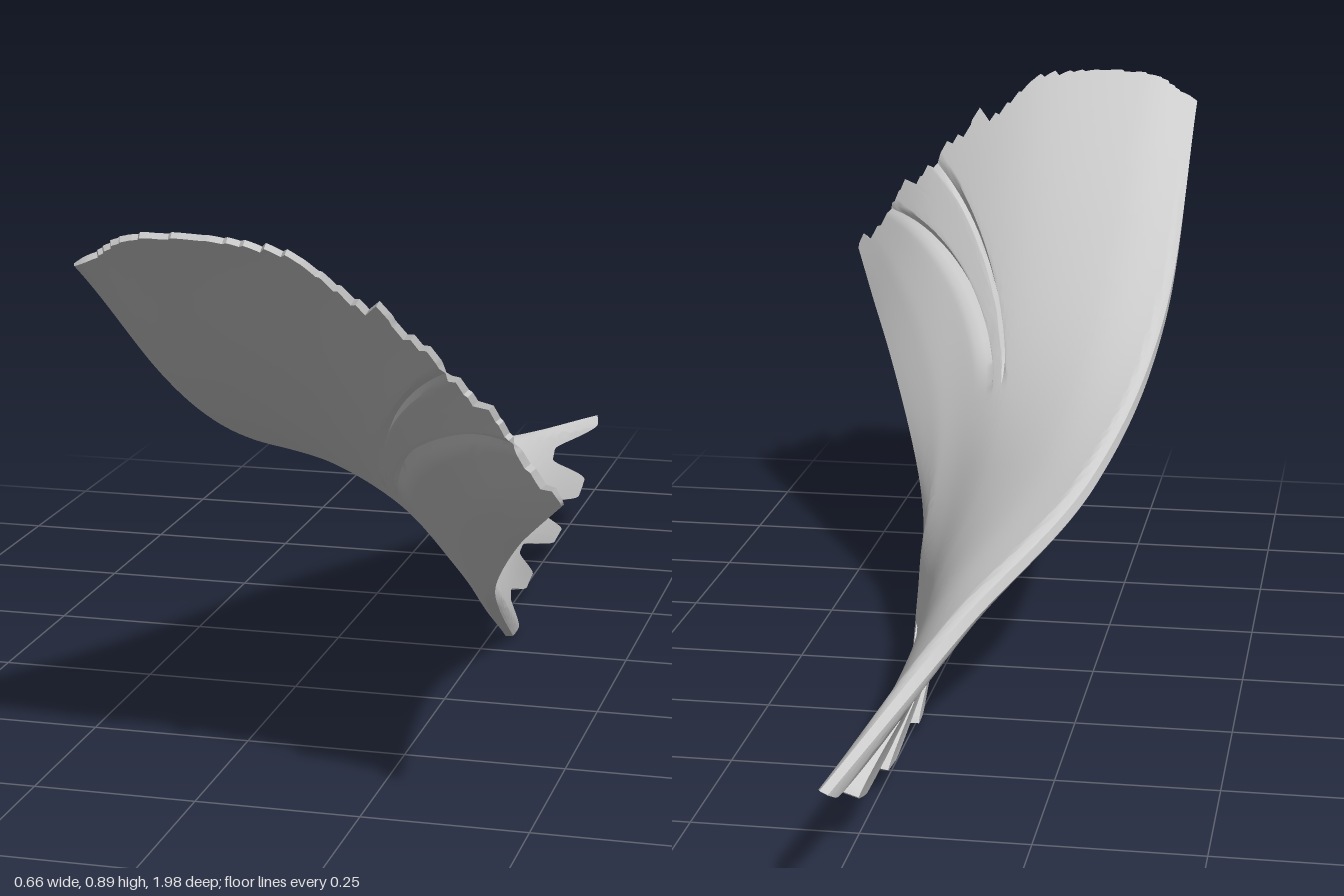
import * as THREE from 'three';
import { toCreasedNormals } from 'three/addons/utils/BufferGeometryUtils.js';

// Sections from the broad fan (first) to the finger tips (last);
// each runs from the left/upper edge to the right/lower edge.
const SECTIONS = [
  [[-0.33, 0.845, 0.945], [-0.22, 0.895, 0.97], [0, 0.88, 0.99], [0.19, 0.73, 0.94], [0.335, 0.555, 0.925]],
  [[-0.32, 0.525, 0.45], [-0.2, 0.53, 0.47], [-0.05, 0.5, 0.5], [0.08, 0.45, 0.55], [0.2, 0.39, 0.6]],
  [[-0.25, 0.35, -0.03], [-0.155, 0.335, 0.06], [-0.06, 0.305, 0.16], [0.02, 0.265, 0.25], [0.095, 0.23, 0.32]],
  [[-0.105, 0.24, -0.48], [-0.06, 0.215, -0.33], [-0.025, 0.185, -0.18], [0.01, 0.155, -0.02], [0.055, 0.125, 0.13]],
  [[0, 0.168, -0.99], [0.006, 0.078, -0.765], [0.002, 0.045, -0.56], [0, 0.032, -0.32], [0.033, 0.012, -0.075]],
];
const NU = 160, NV = 80;
const CLEFTS = [0.75, 0.9];
const { smoothstep, lerp } = THREE.MathUtils;
const spline = pts => new THREE.CatmullRomCurve3(pts, false, 'catmullrom', 0.5);
const rows = SECTIONS.map(r => spline(r.map(p => new THREE.Vector3(...p))));
const surface = (u, v) => spline(rows.map(r => r.getPoint(u))).getPoint(v);
const hash = n => { const s = Math.sin(n * 127.1 + 3.7) * 43758.5453; return s - Math.floor(s); };

// How far each fibre reaches: five fingers separated by tapering notches
function reach(u) {
  const d = Math.abs(u * 4 - Math.round(u * 4));
  return lerp(1, lerp(0.9, 0.85, u), smoothstep(d, 0.13, 0.42));
}

// Ragged fan border, deeper towards the right
function ragged(u) {
  const k = u * 34, f = k - Math.floor(k);
  const amount = smoothstep(u, 0.35, 0.6) * 0.024 + 0.004;
  return amount * (hash(Math.floor(k)) * 0.7 + f * 0.3) * smoothstep(u, 0.02, 0.1);
}

// Bends the fibres so that the two clefts run together inside the fan
function bend(u, v) {
  const k = smoothstep(v, -0.2, 0.36) * (1 - smoothstep(v, 0.36, 0.72));
  const k0 = smoothstep(0, -0.2, 0.36);
  const t = Math.max(0, v < 0.36 ? (k - k0) / (1 - k0) : k);
  const from = [0, ...CLEFTS, 1];
  const to = [0, lerp(CLEFTS[0], 0.52, t), lerp(CLEFTS[1], 0.56, t), 1];
  const n = u < from[1] ? 0 : u < from[2] ? 1 : 2;
  return lerp(to[n], to[n + 1], (u - from[n]) / (from[n + 1] - from[n]));
}

// Half thickness: thin at side edges, fan border and clefts
function halfThickness(u, v) {
  const side = Math.sqrt(Math.min(1, 0.2 + Math.min(u, 1 - u) / 0.05));
  let half = 0.018 * side * lerp(0.25, 1, smoothstep(v, 0, 0.16)) * lerp(1, 0.8, smoothstep(v, 0.8, 1));
  for (const c of CLEFTS) {
    const depth = Math.max(0, 1 - Math.abs(u - c) / 0.013) * (1 - smoothstep(v, 0.26, 0.36));
    half *= 1 - 0.85 * depth;
  }
  return half;
}

function sheetGeometry() {
  const W = NU + 1, count = W * (NV + 1), e = 0.004;
  const top = [], bottom = [], index = [];
  const normal = new THREE.Vector3();
  for (let j = 0; j <= NV; j++) for (let i = 0; i <= NU; i++) {
    const u = i / NU, s = j / NV;
    let v = s;
    if (s > 0.7) v = lerp(0.7, reach(u), (s - 0.7) / 0.3);
    else if (s < 0.25) v = lerp(ragged(u), 0.25, s / 0.25);
    const w = bend(u, v);
    const p = surface(w, v);
    const du = surface(Math.min(w + e, 1), v).sub(surface(Math.max(w - e, 0), v));
    const dv = surface(w, Math.min(v + e, 1)).sub(surface(w, Math.max(v - e, 0)));
    normal.crossVectors(du, dv).normalize();
    const half = halfThickness(u, v);
    top.push(...p.clone().addScaledVector(normal, half));
    bottom.push(...p.clone().addScaledVector(normal, -half));
  }
  for (let j = 0; j < NV; j++) for (let i = 0; i < NU; i++) {
    const a = j * W + i, b = a + 1, c = a + W, d = c + 1;
    index.push(a, b, d, a, d, c);
    index.push(a + count, d + count, b + count, a + count, c + count, d + count);
  }
  // Rim joining the two faces
  const rim = [];
  for (let i = 0; i < NU; i++) rim.push(i);
  for (let j = 0; j < NV; j++) rim.push(j * W + NU);
  for (let i = NU; i > 0; i--) rim.push(NV * W + i);
  for (let j = NV; j > 0; j--) rim.push(j * W);
  rim.forEach((p, k) => {
    const q = rim[(k + 1) % rim.length];
    index.push(q, p, p + count, q, p + count, q + count);
  });
  const g = new THREE.BufferGeometry();
  g.setAttribute('position', new THREE.Float32BufferAttribute(top.concat(bottom), 3));
  g.setIndex(index);
  return toCreasedNormals(g, 0.7);
}

export function createModel() {
  const group = new THREE.Group();
  group.name = 'fanMuscle';
  const material = new THREE.MeshStandardMaterial({ color: 0xcccccc, side: THREE.DoubleSide });
  const sheet = new THREE.Mesh(sheetGeometry(), material);
  sheet.name = 'twistedMuscleSheet';
  group.add(sheet);
  return group;
}
